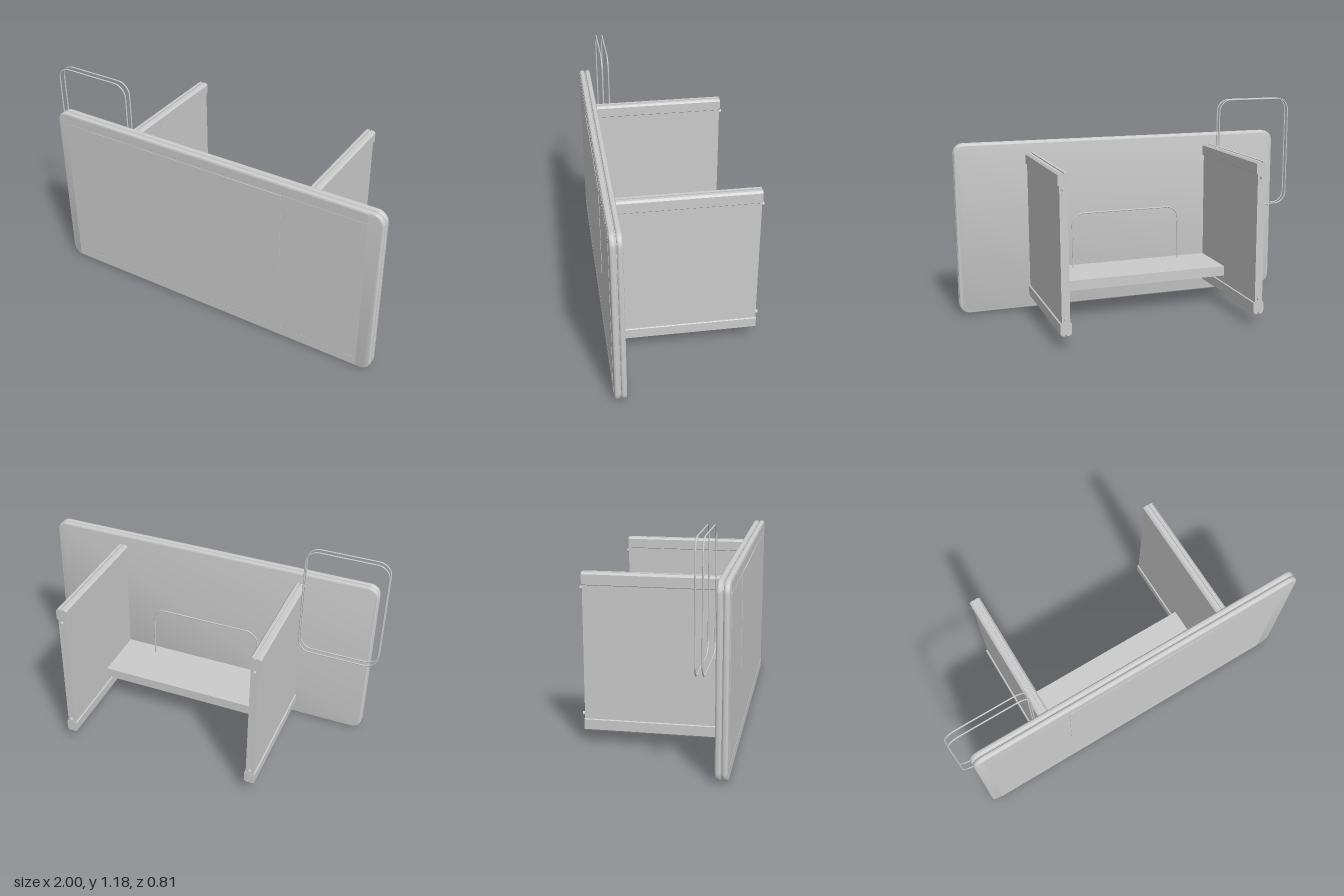
import * as THREE from 'three';
import { toCreasedNormals } from 'three/addons/utils/BufferGeometryUtils.js';

const material = new THREE.MeshStandardMaterial({ color: 0xcccccc });

function addMesh(parent, name, geometry) {
  const mesh = new THREE.Mesh(geometry, material);
  mesh.name = name;
  parent.add(mesh);
  return mesh;
}

// Box given by its lower and upper limits on each axis
function addBox(parent, name, [x0, x1], [y0, y1], [z0, z1]) {
  const mesh = addMesh(parent, name, new THREE.BoxGeometry(x1 - x0, y1 - y0, z1 - z0));
  mesh.position.set((x0 + x1) / 2, (y0 + y1) / 2, (z0 + z1) / 2);
  return mesh;
}

function roundedRect(x0, x1, y0, y1, r) {
  const s = new THREE.Shape();
  s.moveTo(x0 + r, y0);
  s.absarc(x1 - r, y0 + r, r, -Math.PI / 2, 0);
  s.absarc(x1 - r, y1 - r, r, 0, Math.PI / 2);
  s.absarc(x0 + r, y1 - r, r, Math.PI / 2, Math.PI);
  s.absarc(x0 + r, y0 + r, r, Math.PI, Math.PI * 1.5);
  s.closePath();
  return s;
}

// Rounded board with softened edges, from z0 to z1
function addBoard(parent, name, inset, z0, z1, bevel) {
  const shape = roundedRect(-0.94 + inset, 1 - inset, inset, 0.972 - inset, 0.06 - inset);
  const geometry = new THREE.ExtrudeGeometry(shape, {
    depth: z1 - z0 - 2 * bevel, curveSegments: 10,
    bevelEnabled: bevel > 0, bevelThickness: bevel, bevelSize: bevel,
    bevelOffset: -bevel, bevelSegments: 4,
  });
  geometry.translate(0, 0, z0 + bevel);
  addMesh(parent, name, toCreasedNormals(geometry, 0.6));
}

// Closed wire ring with rounded corners in an x-y plane
function addRing(parent, name, x0, x1, y0, y1, z, corner) {
  const path = new THREE.CurvePath();
  const v = (x, y) => new THREE.Vector3(x, y, z);
  const corners = [[x0, y0], [x1, y0], [x1, y1], [x0, y1]];
  const dirs = [[1, 0], [0, 1], [-1, 0], [0, -1]];
  corners.forEach(([x, y], i) => {
    const [dx, dy] = dirs[i], [nx, ny] = corners[(i + 1) % 4], [ex, ey] = dirs[(i + 1) % 4];
    const end = v(nx - dx * corner, ny - dy * corner);
    const k = corner * 0.448;
    path.add(new THREE.LineCurve3(v(x + dx * corner, y + dy * corner), end));
    path.add(new THREE.CubicBezierCurve3(end, v(nx - dx * k, ny - dy * k),
      v(nx + ex * k, ny + ey * k), v(nx + ex * corner, ny + ey * corner)));
  });
  addMesh(parent, name, new THREE.TubeGeometry(path, 160, 0.004, 8, true));
}

// Chamfered rail profile with a narrow groove along its outer edge
function railGeometry() {
  const h = 0.033, w = 0.03, c = 0.01, g = 0.004;
  const shape = new THREE.Shape([
    [-w + 0.003, -h], [w - 0.003, -h], [w, -h + 0.003], [w, h - c], [w - c, h],
    [g, h], [g, h - 0.006], [-g, h - 0.006], [-g, h], [-w + c, h], [-w, h - c], [-w, -h + 0.003],
  ].map(([x, y]) => new THREE.Vector2(x, y)));
  return new THREE.ExtrudeGeometry(shape, { depth: 0.735, bevelEnabled: false });
}

function createSide(name, x) {
  const side = new THREE.Group();
  side.name = name;
  addBox(side, 'sidePanel', [-0.022, 0.022], [0.12, 0.86], [-0.39, 0.345]);
  const rail = railGeometry();
  for (const [label, y, turn, pegY] of [['upper', 0.876, 0, 0.824], ['lower', 0.101, Math.PI, 0.154]]) {
    const bar = addMesh(side, label + 'Rail', rail);
    bar.rotation.z = turn;
    bar.position.set(0, y, -0.392);
    // Small peg on the rear edge
    const peg = addMesh(side, label + 'Peg', new THREE.CylinderGeometry(0.01, 0.01, 0.03, 16));
    peg.rotation.x = Math.PI / 2;
    peg.position.set(0, pegY, -0.39);
  }
  side.position.x = x;
  return side;
}

export function createModel() {
  const model = new THREE.Group();
  model.name = 'counter';

  // Front board: two rounded slabs separated by a recessed core
  const front = new THREE.Group();
  front.name = 'frontBoard';
  addBoard(front, 'rearSlab', 0, 0.341, 0.370, 0.011);
  addBoard(front, 'core', 0.012, 0.36, 0.385, 0);
  addBoard(front, 'frontSlab', 0, 0.373, 0.403, 0.011);

  // Facing strips with fine joints, and the thin display sheet
  const span = [-0.885, 0.92], layer = [0.395, 0.4045];
  addBox(front, 'facing', span, [0.069, 0.906], layer);
  addBox(front, 'upperStrip', span, [0.911, 0.961], layer);
  addBox(front, 'lowerStrip', span, [0.011, 0.064], layer);
  addBox(front, 'displaySheet', [-0.40, 0.46], [0.41, 0.905], [0.40, 0.4065]);
  model.add(front);

  // Side walls and the shelf between them
  model.add(createSide('rightSide', -0.51), createSide('leftSide', 0.57));
  addBox(model, 'shelf', [-0.49, 0.55], [0.175, 0.232], [0.02, 0.345]);

  // Wire rings: a pair beside the board and one through the shelf
  for (const z of [0.255, 0.29]) addRing(model, 'sideRing', -0.996, -0.549, 0.532, 1.174, z, 0.07);
  addRing(model, 'shelfRing', -0.298, 0.35, 0.10, 0.55, 0.285, 0.07);

  return model;
}
